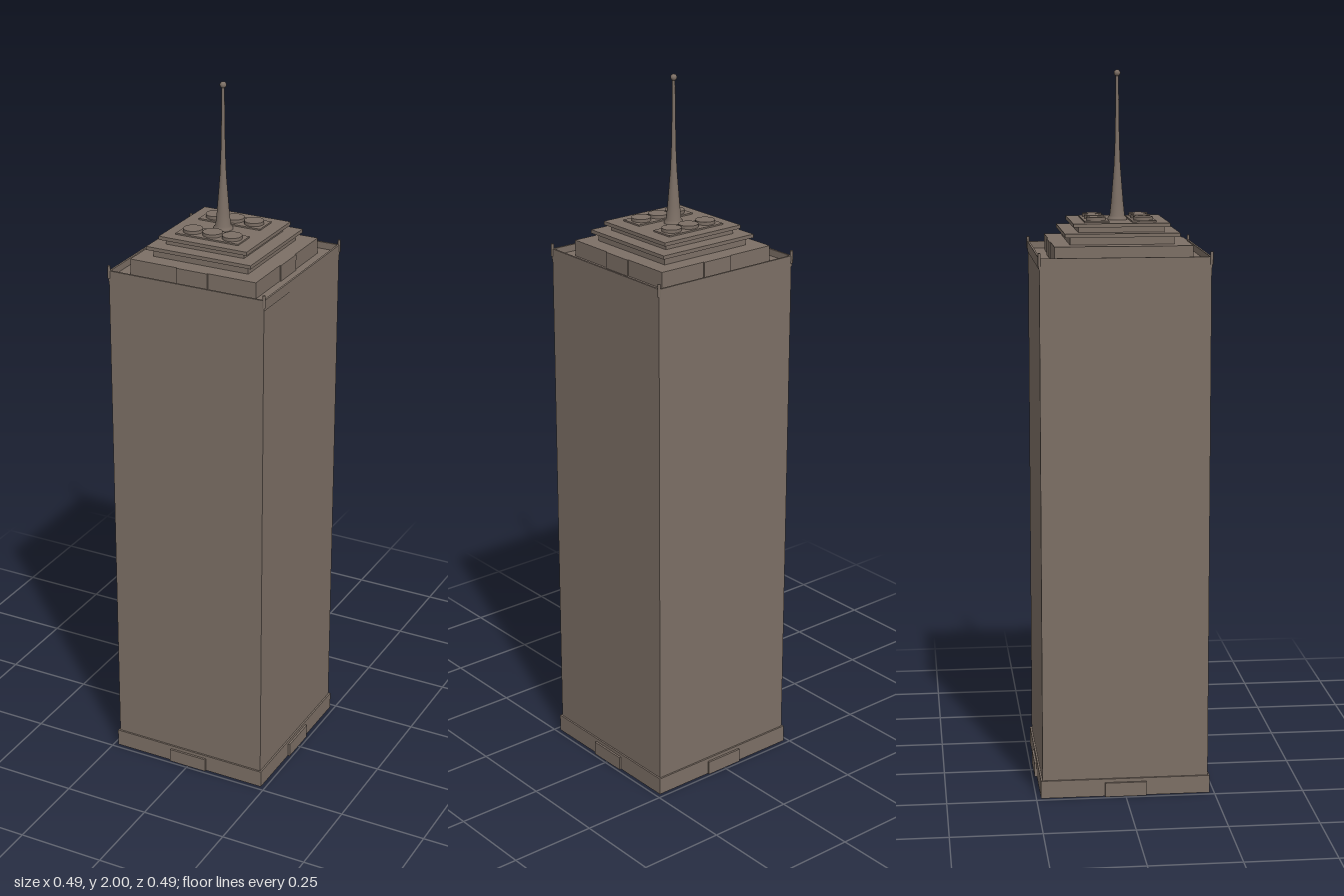
import * as THREE from 'three';

export function createModel() {
  const root = new THREE.Group();
  root.name = 'skyscraper';
  const stone = new THREE.MeshStandardMaterial({ color: 0x7c6f65 });
  stone.name = 'warm grey stone';
  const dark = new THREE.MeshStandardMaterial({ color: 0x0c0c0c });
  dark.name = 'near black';

  const add = (name, geometry, x, y, z, material = stone) => {
    const mesh = new THREE.Mesh(geometry, material);
    mesh.name = name;
    mesh.position.set(x, y, z);
    root.add(mesh);
    return mesh;
  };
  // Box given by its footprint and its bottom and top heights
  const block = (name, w, d, y0, y1, x = 0, z = 0, material = stone) =>
    add(name, new THREE.BoxGeometry(w, y1 - y0, d), x, (y0 + y1) / 2, z, material);

  // Square ring, extruded upwards
  const ring = (name, half, hole, y0, y1) => {
    const shape = new THREE.Shape();
    shape.moveTo(-half, -half).lineTo(half, -half).lineTo(half, half).lineTo(-half, half).closePath();
    shape.holes.push(new THREE.Path(hole.map(([x, y]) => new THREE.Vector2(x, y))));
    const geometry = new THREE.ExtrudeGeometry(shape, { depth: y1 - y0, bevelEnabled: false });
    geometry.rotateX(-Math.PI / 2);
    return add(name, geometry, 0, y0, 0);
  };

  // Base plinth, hollow underneath with notches at the four entrances
  const a = 0.205, b = 0.057, c = 0.23;
  const plus = [];
  for (let i = 0; i < 4; i++) {
    for (const [x, y] of [[a, -a], [a, -b], [c, -b], [c, b], [a, b]]) {
      const t = i * Math.PI / 2;
      plus.push([x * Math.cos(t) - y * Math.sin(t), x * Math.sin(t) + y * Math.cos(t)]);
    }
  }
  ring('basePlinth', 0.237, plus.reverse(), 0, 0.05);
  block('underside', 0.41, 0.41, 0.004, 0.01, 0, 0, dark);
  block('undersideCrossX', 0.46, 0.114, 0.004, 0.01, 0, 0, dark);
  block('undersideCrossZ', 0.114, 0.46, 0.004, 0.01, 0, 0, dark);

  // Entrance panels on all four sides
  for (const s of [-1, 1]) {
    block('entranceZ', 0.116, 0.008, 0, 0.04, 0, s * 0.239);
    block('entranceX', 0.008, 0.116, 0, 0.04, s * 0.239, 0);
  }

  // Main shaft, with a raised parapet and corner posts
  block('towerShaft', 0.464, 0.464, 0.012, 1.49);
  const p = 0.228;
  ring('parapet', 0.2335, [[-p, -p], [-p, p], [p, p], [p, -p]], 1.48, 1.509);
  for (const x of [-1, 1]) for (const z of [-1, 1]) {
    add('cornerPost', new THREE.CylinderGeometry(0.004, 0.004, 0.035, 10), x * 0.232, 1.5055, z * 0.232);
  }

  // Stepped roof: lower storey with central bays, then overhanging slabs
  const cx = -0.002;
  block('roofStorey', 0.377, 0.377, 1.488, 1.535, cx);
  block('roofBayX', 0.384, 0.093, 1.488, 1.535, cx);
  block('roofBayZ', 0.093, 0.384, 1.488, 1.535, cx);
  block('middleWall', 0.285, 0.285, 1.534, 1.556, cx);
  block('middleSlab', 0.314, 0.314, 1.556, 1.566, cx);
  block('upperWall', 0.235, 0.235, 1.565, 1.581, cx);
  block('upperSlab', 0.264, 0.264, 1.581, 1.591, cx);

  // Two rows of round roof vents on thin pads
  for (const s of [-1, 1]) {
    block('ventPad', 0.188, 0.068, 1.59, 1.595, -0.006, s * 0.065);
    for (let i = -1; i <= 1; i++) {
      add('roofVent', new THREE.CylinderGeometry(0.027, 0.027, 0.01, 32), -0.006 + i * 0.059, 1.599, s * 0.065);
    }
  }

  // Tapering mast with a small ball at the tip
  const profile = [[0.027, 1.59], [0.026, 1.597], [0.021, 1.602], [0.017, 1.64], [0.013, 1.69],
    [0.009, 1.74], [0.0065, 1.8], [0.005, 1.88], [0.004, 1.985]];
  add('mast', new THREE.LatheGeometry(profile.map(([r, y]) => new THREE.Vector2(r, y)), 24), -0.008, 0, 0);
  add('mastBall', new THREE.SphereGeometry(0.009, 16, 12), -0.008, 1.991, 0);

  return root;
}
